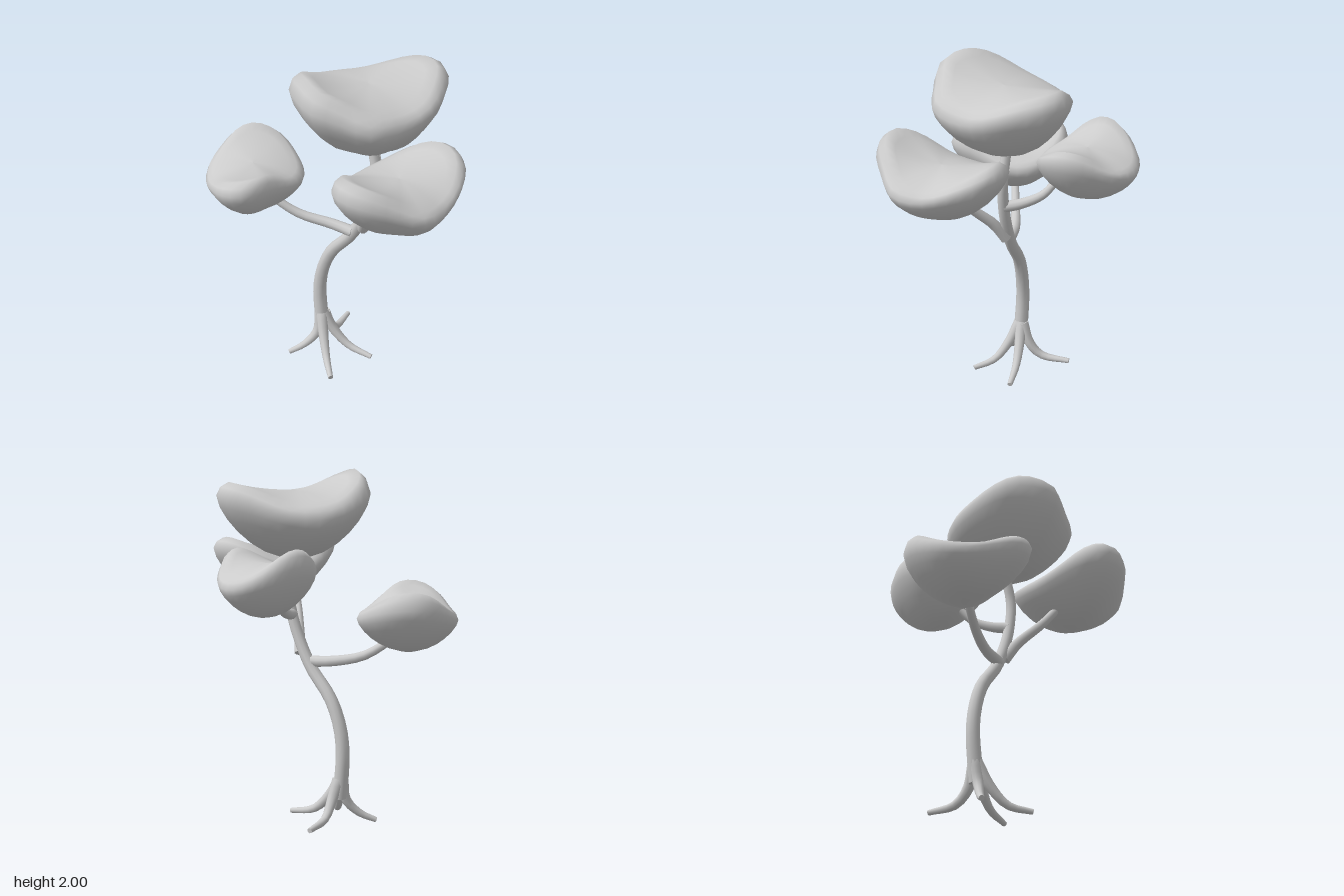
import * as THREE from 'three';

const material = new THREE.MeshStandardMaterial({ color: 0xcccccc });
const V = (x, y, z) => new THREE.Vector3(x, y, z);
const mix = THREE.MathUtils.lerp;

// Skin a list of closed rings of points with smooth quads
function loft(rings) {
  const n = rings[0].length, index = [];
  for (let i = 0; i < rings.length - 1; i++) {
    for (let j = 0; j < n; j++) {
      const a = i * n + j, b = i * n + (j + 1) % n;
      index.push(a, a + n, b, b, a + n, b + n);
    }
  }
  const geometry = new THREE.BufferGeometry().setFromPoints(rings.flat());
  geometry.setIndex(index);
  geometry.computeVertexNormals();
  return geometry;
}

function addMesh(group, name, geometry) {
  const mesh = new THREE.Mesh(geometry, material);
  mesh.name = name;
  group.add(mesh);
}

// Round limb along a path, tapering from r0 to r1, with flat ends
function limb(points, r0, r1, steps = 10, sides = 10) {
  const curve = new THREE.CatmullRomCurve3(points.map(p => V(...p)));
  const { normals, binormals } = curve.computeFrenetFrames(steps);
  const ring = (i, r) => Array.from({ length: sides }, (_, j) => {
    const a = j / sides * Math.PI * 2;
    return curve.getPointAt(i / steps)
      .addScaledVector(normals[i], Math.cos(a) * r)
      .addScaledVector(binormals[i], -Math.sin(a) * r);
  });
  const rings = [ring(0, 0), ring(0, r0)];
  for (let i = 0; i <= steps; i++) rings.push(ring(i, mix(r0, r1, i / steps)));
  rings.push(ring(steps, r1), ring(steps, 0));
  return loft(rings);
}

// Leaf pad: a round bowl below, a saddle on top, both following an outline in x and z
function leafPad({ outline, axis, bottom, middle, rim, lift, tilt }) {
  const curve = new THREE.CatmullRomCurve3(outline.map(([x, z]) => V(x, 0, z)), true);
  const edge = curve.getSpacedPoints(32).slice(0, 32);
  const centre = edge.reduce((s, p) => s.add(p), V(0, 0, 0)).divideScalar(edge.length);
  const high = V(axis[0], 0, axis[1]).normalize();
  const ring = (r, height) => edge.map(p => {
    const d = p.clone().sub(centre).normalize().dot(high);
    const rimY = mix(rim[0], rim[1], d * d) + tilt * d * 0.3;
    const crest = mix(lift[0], lift[1], Math.abs(d) ** 2.7) + tilt * d;
    const topY = q => middle + (q / 0.85) ** 2 * crest;
    return centre.clone().lerp(p, r).setY(height(rimY, topY));
  });
  const rings = [];
  for (const r of [0, 0.2, 0.4, 0.58, 0.74, 0.87, 0.96]) {
    const bowl = mix(r * r, 1 - Math.sqrt(1 - r * r), 0.5);
    rings.push(ring(r, rimY => mix(bottom, rimY, bowl)));
  }
  rings.push(ring(1, rimY => rimY));
  rings.push(ring(0.95, (rimY, topY) => mix(rimY, topY(0.85), 0.65)));
  for (const r of [0.85, 0.7, 0.53, 0.35, 0.17, 0]) rings.push(ring(r, (_, topY) => topY(r)));
  return loft(rings);
}

const trunk = [[-0.195, 0.17, 0.085], [-0.21, 0.3, 0.085], [-0.22, 0.45, 0.083], [-0.2, 0.6, 0.075],
  [-0.14, 0.75, 0.055], [-0.02, 0.9, 0.02], [0.05, 1.03, 0], [0.11, 1.2, -0.02],
  [0.132, 1.37, -0.03], [0.1, 1.52, -0.03], [0.09, 1.62, -0.03]];

const branches = {
  rightFrontBranch: [[0, 0.94, 0.025], [-0.12, 0.955, 0.07], [-0.28, 1.0, 0.18], [-0.4, 1.1, 0.27], [-0.43, 1.14, 0.29]],
  leftBranch: [[0.06, 0.98, 0], [0.12, 1.08, 0.04], [0.24, 1.21, 0.12], [0.34, 1.34, 0.17]],
  rightBackBranch: [[0.11, 1.2, -0.02], [0.05, 1.22, -0.1], [-0.02, 1.27, -0.19], [-0.08, 1.34, -0.235]],
};

const roots = {
  leftRoot: [[-0.2, 0.28, 0.08], [-0.14, 0.17, 0.05], [-0.05, 0.075, 0.01], [0.09, 0.035, -0.045]],
  leftFrontRoot: [[-0.2, 0.28, 0.09], [-0.14, 0.15, 0.13], [-0.06, 0.05, 0.18], [0.05, 0.02, 0.25]],
  rightFrontRoot: [[-0.21, 0.28, 0.09], [-0.21, 0.15, 0.12], [-0.25, 0.065, 0.19], [-0.3, 0.02, 0.27]],
  backRoot: [[-0.2, 0.28, 0.07], [-0.2, 0.16, 0.02], [-0.23, 0.08, -0.05], [-0.29, 0.065, -0.21]],
};

const pads = {
  topLeafPad: {
    outline: [[0.15, -0.44], [0.28, -0.41], [0.4, -0.25], [0.44, -0.12], [0.43, 0.02], [0.38, 0.24], [0.25, 0.34],
      [0.11, 0.42], [0, 0.4], [-0.12, 0.35], [-0.21, 0.27], [-0.28, 0.06], [-0.27, -0.08], [-0.15, -0.28], [0, -0.38]],
    axis: [-0.28, 0.96], bottom: 1.52, middle: 1.9, rim: [1.77, 1.89], lift: [-0.06, 0.08], tilt: 0.025,
  },
  leftLeafPad: {
    outline: [[0.5, -0.26], [0.6, -0.22], [0.69, -0.1], [0.74, 0.07], [0.76, 0.22], [0.69, 0.34], [0.57, 0.48],
      [0.47, 0.52], [0.38, 0.51], [0.3, 0.45], [0.23, 0.34], [0.17, 0.18], [0.16, 0.04], [0.24, -0.14], [0.37, -0.24]],
    axis: [0, 1], bottom: 1.25, middle: 1.54, rim: [1.43, 1.56], lift: [-0.06, 0.095], tilt: 0.02,
  },
  rightFrontLeafPad: {
    outline: [[-0.58, 0.03], [-0.4, 0.05], [-0.28, 0.13], [-0.22, 0.26], [-0.2, 0.42], [-0.2, 0.55], [-0.25, 0.63],
      [-0.36, 0.66], [-0.5, 0.62], [-0.62, 0.56], [-0.72, 0.46], [-0.76, 0.32], [-0.76, 0.2], [-0.7, 0.1]],
    axis: [-0.75, -0.65], bottom: 1.04, middle: 1.32, rim: [1.22, 1.32], lift: [-0.05, 0.08], tilt: 0.015,
  },
  rightBackLeafPad: {
    outline: [[-0.18, -0.67], [-0.06, -0.64], [0.04, -0.56], [0.12, -0.45], [0.13, -0.33], [0.08, -0.22], [-0.03, -0.15],
      [-0.15, -0.12], [-0.25, -0.15], [-0.37, -0.23], [-0.41, -0.33], [-0.4, -0.48], [-0.35, -0.58], [-0.28, -0.64]],
    axis: [-1, 0.1], bottom: 1.27, middle: 1.56, rim: [1.45, 1.56], lift: [-0.06, 0.075], tilt: 0.02,
  },
};

export function createModel() {
  const tree = new THREE.Group();
  tree.name = 'tree';
  addMesh(tree, 'trunk', limb(trunk, 0.042, 0.027, 24));
  for (const [name, path] of Object.entries(branches)) addMesh(tree, name, limb(path, 0.033, 0.021));
  for (const [name, path] of Object.entries(roots)) addMesh(tree, name, limb(path, 0.036, 0.015));
  for (const [name, pad] of Object.entries(pads)) addMesh(tree, name, leafPad(pad));
  return tree;
}
